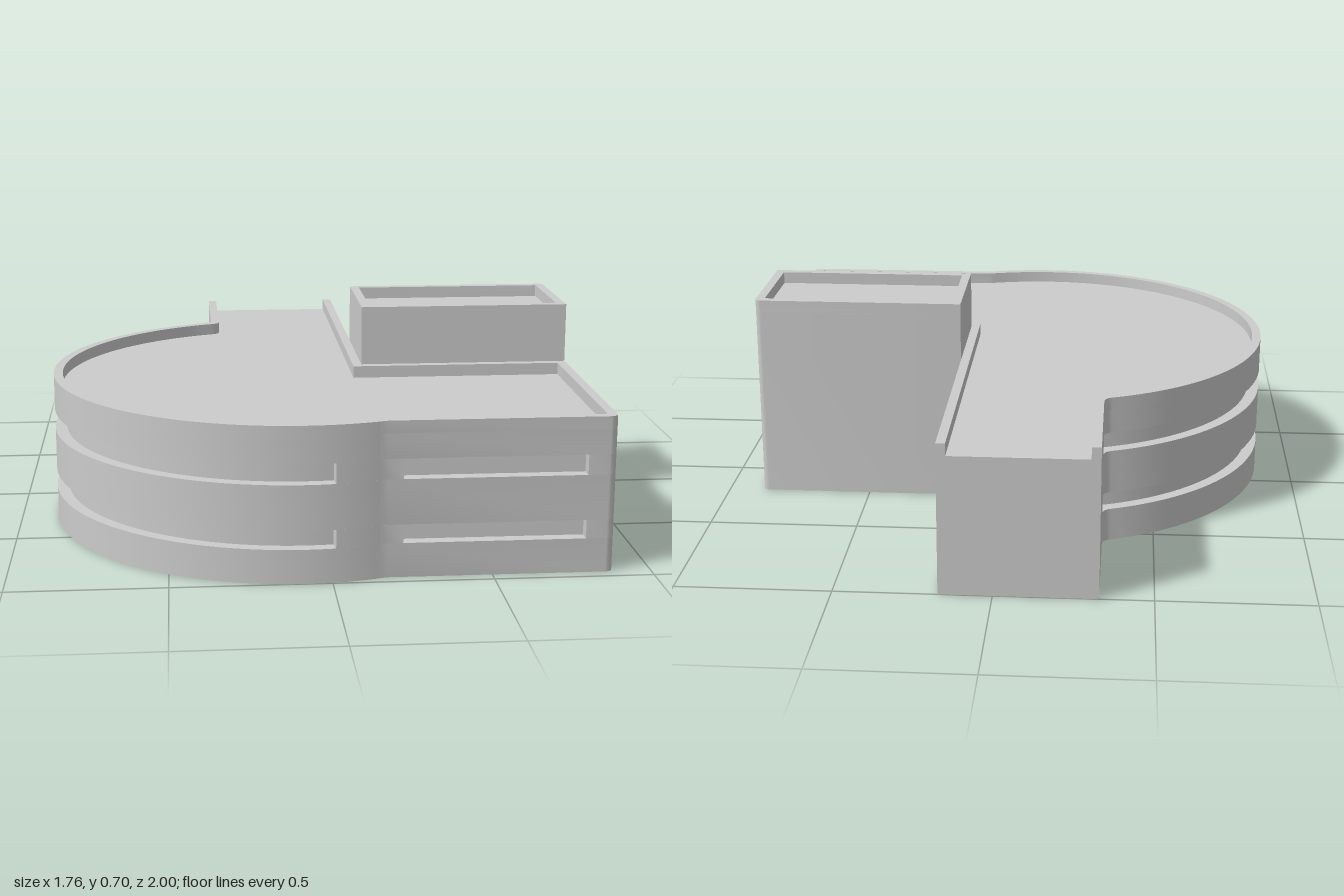
import * as THREE from 'three';
import { toCreasedNormals } from 'three/addons/utils/BufferGeometryUtils.js';

const CX = -0.08, CZ = 0.2, R = 0.8;   // drum centre and radius
const RIM = 0.03, RECESS = 0.04;       // parapet thickness, window depth
const ROOF = 0.46, TOP = 0.5;

const material = new THREE.MeshStandardMaterial({ color: 0xcccccc });
const v = (x, z) => new THREE.Vector2(x, z);

function arc(r, from, to, n, cx = CX, cz = CZ) {
  return Array.from({ length: n + 1 }, (_, i) => {
    const a = from + (to - from) * i / n;
    return v(cx + r * Math.cos(a), cz + r * Math.sin(a));
  });
}

// Plan of the main block in (x, z), inset by t, with optional window recesses
function plan(t = 0, windows = false) {
  const r = R - t, right = 0.88 - t, front = 0.96 - t, stem = -0.33 + t;
  const a0 = Math.asin((front - CZ) / r);
  const a2 = 2 * Math.PI - Math.acos((stem - CX) / r);
  const pts = [v(0.17 - t, -1), v(0.17 - t, 0.2 + t), v(right, 0.2 + t)];
  if (windows) pts.push(v(right, 0.3), v(right - RECESS, 0.3), v(right - RECESS, 0.89), v(right, 0.89));
  const c = 0.025 - t / 2;
  pts.push(...arc(c, 0, Math.PI / 2, 6, right - c, front - c));
  if (windows) pts.push(v(0.79, front), v(0.79, front - RECESS), v(0.22, front - RECESS), v(0.22, front));
  if (windows) {
    const a1 = Math.acos((0.01 - CX) / r), ri = r - RECESS;
    pts.push(...arc(r, a0, a1, 6));
    pts.push(...arc(ri, a1, 2 * Math.PI - Math.acos((stem - CX) / ri), 72));
  } else {
    pts.push(...arc(r, a0, a2 - 0.035, 78));
    // small fillet where the drum meets the rear wing
    const end = pts[pts.length - 1];
    const corner = v(stem, CZ + r * Math.sin(a2));
    const fillet = new THREE.QuadraticBezierCurve(end, corner, v(stem, corner.y - 0.03));
    pts.push(...fillet.getPoints(5).slice(1));
  }
  pts.push(v(stem, -1));
  return pts;
}

// Tower plan, with its rear outer corner rounded
function towerPlan(t = 0) {
  const x0 = 0.17 + t, x1 = 0.88 - t, z0 = -0.2 + t, z1 = 0.2 - t;
  const c = t ? 0.002 : 0.02;
  return [v(x0, z0), ...arc(c, -Math.PI / 2, 0, 6, x1 - c, z0 + c), v(x1, z1), v(x0, z1)];
}

// Extrude a plan vertically from y0 to y1
function slab(name, points, y0, y1, hole) {
  const shape = new THREE.Shape(points);
  if (hole) shape.holes.push(new THREE.Path(hole));
  const geo = new THREE.ExtrudeGeometry(shape, { depth: y1 - y0, bevelEnabled: false });
  geo.rotateX(Math.PI / 2);
  geo.translate(0, y1, 0);
  const mesh = new THREE.Mesh(toCreasedNormals(geo, 0.5), material);
  mesh.name = name;
  return mesh;
}

export function createModel() {
  const model = new THREE.Group();
  model.name = 'building';

  // Main block: solid wall bands alternating with recessed window bands
  const main = new THREE.Group();
  main.name = 'mainBlock';
  const levels = [0, 0.11, 0.17, 0.315, 0.38, ROOF];
  for (let i = 0; i < levels.length - 1; i++) {
    const isWindow = i % 2 === 1;
    main.add(slab(isWindow ? 'windowBand' : 'wallBand', plan(0, isWindow), levels[i], levels[i + 1]));
  }

  // Parapet follows the plan and is open at the end of the rear wing
  main.add(slab('roofParapet', [...plan(), ...plan(RIM).reverse()], ROOF, TOP));
  model.add(main);

  // Taller tower in the rear corner
  const tower = new THREE.Group();
  tower.name = 'tower';
  tower.add(slab('towerWalls', towerPlan(), 0, 0.66));
  tower.add(slab('towerParapet', towerPlan(), 0.66, 0.7, towerPlan(RIM)));
  model.add(tower);

  return model;
}
